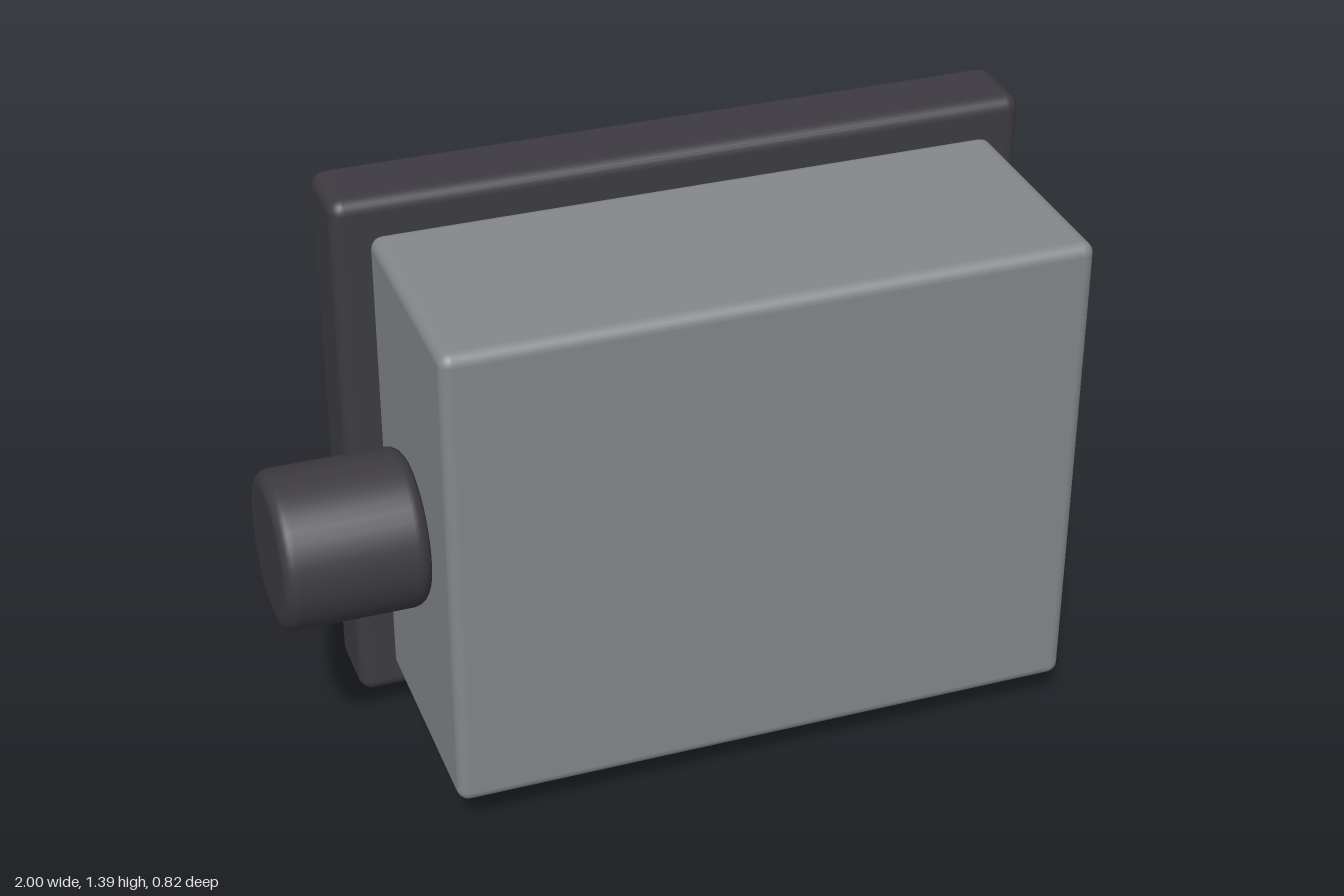
import * as THREE from 'three';
import { RoundedBoxGeometry } from 'three/addons/geometries/RoundedBoxGeometry.js';

export function createModel() {
  const model = new THREE.Group();
  const grey = new THREE.MeshStandardMaterial({ name: 'grey casing', color: 0x838788 });
  const dark = new THREE.MeshStandardMaterial({ name: 'dark plastic', color: 0x3d3b41 });

  const add = (name, geometry, material, x, y, z) => {
    const mesh = new THREE.Mesh(geometry, material);
    mesh.name = name;
    mesh.position.set(x, y, z);
    model.add(mesh);
    return mesh;
  };

  // Housing box and the larger plate behind it
  add('housing', new RoundedBoxGeometry(1.56, 1.22, 0.605, 3, 0.03), grey, 0.13, 0.697, 0.104);
  add('backPlate', new RoundedBoxGeometry(1.735, 1.39, 0.207, 3, 0.035), dark, 0.1325, 0.695, -0.305);

  // Round knob on the side, with softened rims
  const radius = 0.19, half = 0.173, bevel = 0.035;
  const profile = [new THREE.Vector2(0, -half)];
  for (const end of [-1, 1]) {
    for (let i = 0; i <= 4; i++) {
      const a = (end < 0 ? i - 4 : i) * Math.PI / 8;
      profile.push(new THREE.Vector2(
        radius - bevel + bevel * Math.cos(a),
        end * (half - bevel) + bevel * Math.sin(a)));
    }
  }
  profile.push(new THREE.Vector2(0, half));
  const knob = add('sideKnob', new THREE.LatheGeometry(profile, 40), dark, -0.827, 0.7, 0.11);
  knob.rotation.z = Math.PI / 2;

  return model;
}
